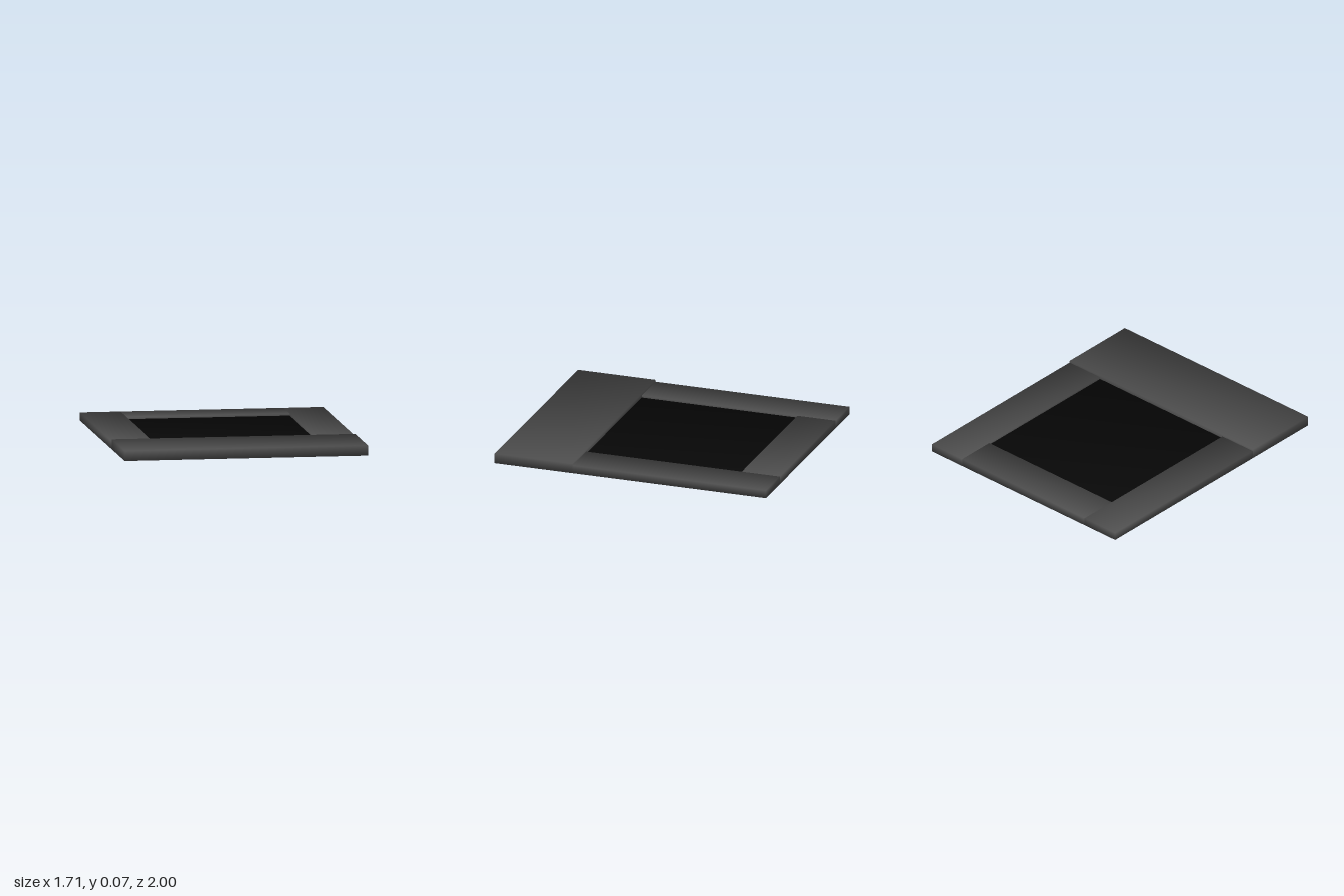
import * as THREE from 'three';

const frameMaterial = new THREE.MeshStandardMaterial({ color: 0x505050 });
const panelMaterial = new THREE.MeshStandardMaterial({ color: 0x080808 });

// Box resting on y = 0 with normals blended across its corners
function softBox(name, x0, x1, z0, z1, height, material) {
  const geometry = new THREE.BoxGeometry(x1 - x0, height, z1 - z0);
  const p = geometry.attributes.position;
  const k = 1 / Math.sqrt(3);
  for (let i = 0; i < p.count; i++) {
    geometry.attributes.normal.setXYZ(
      i, Math.sign(p.getX(i)) * k, Math.sign(p.getY(i)) * k, Math.sign(p.getZ(i)) * k);
  }
  const mesh = new THREE.Mesh(geometry, material);
  mesh.name = name;
  mesh.position.set((x0 + x1) / 2, height / 2, (z0 + z1) / 2);
  return mesh;
}

export function createModel() {
  const group = new THREE.Group();
  group.name = 'photoFrame';

  const outer = 0.857, inner = 0.572;   // half widths of frame and window
  const back = -1, windowBack = -0.72, windowFront = 0.428, front = 1;

  group.add(
    // Wide, slightly thicker strip along the front
    softBox('frontStrip', -outer, outer, windowFront, front, 0.071, frameMaterial),
    // Narrow side and back strips
    softBox('leftStrip', inner, outer, back, windowFront, 0.057, frameMaterial),
    softBox('rightStrip', -outer, -inner, back, windowFront, 0.057, frameMaterial),
    softBox('backStrip', -inner, inner, back, windowBack, 0.057, frameMaterial),
    // Dark picture panel, sunk below the frame
    softBox('picturePanel', -inner, inner, windowBack, windowFront, 0.043, panelMaterial),
  );
  return group;
}
